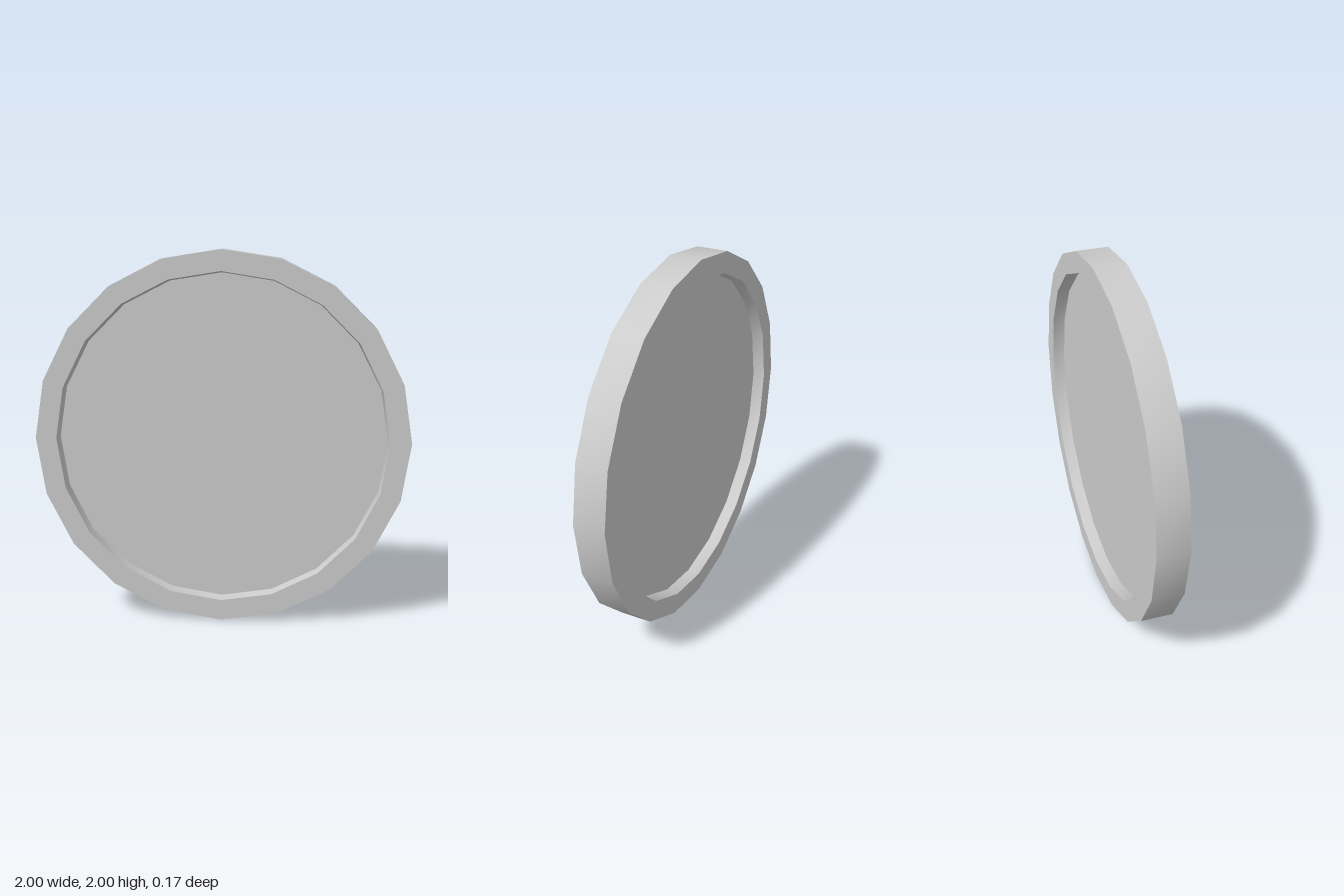
import * as THREE from 'three';
import { toCreasedNormals } from 'three/addons/utils/BufferGeometryUtils.js';

const SIDES = 20;
const HALF_DEPTH = 0.085; // half thickness of the rim
const HALF_PANEL = 0.02;  // half thickness of the recessed panel
const INNER = 0.88;       // rim radius where it meets the panel
const LIP = 0.888;        // rim radius at its faces

export function createModel() {
  const group = new THREE.Group();
  group.name = 'rimmedDisc';
  const material = new THREE.MeshStandardMaterial({ color: 0xcccccc });

  const addPart = (name, geometry) => {
    geometry.rotateX(Math.PI / 2); // turn the axis towards the front
    const mesh = new THREE.Mesh(toCreasedNormals(geometry, Math.PI / 6), material);
    mesh.name = name;
    mesh.position.y = 1;
    group.add(mesh);
  };

  // Raised rim with slightly tapered inner walls on both faces
  const profile = [
    [INNER, -HALF_PANEL], [LIP, -HALF_DEPTH], [1, -HALF_DEPTH],
    [1, HALF_DEPTH], [LIP, HALF_DEPTH], [INNER, HALF_PANEL],
  ].map(([r, y]) => new THREE.Vector2(r, y));
  addPart('rim', new THREE.LatheGeometry(profile, SIDES));

  // Flat panel recessed on the front and back
  addPart('panel', new THREE.CylinderGeometry(INNER, INNER, HALF_PANEL * 2, SIDES));

  return group;
}
